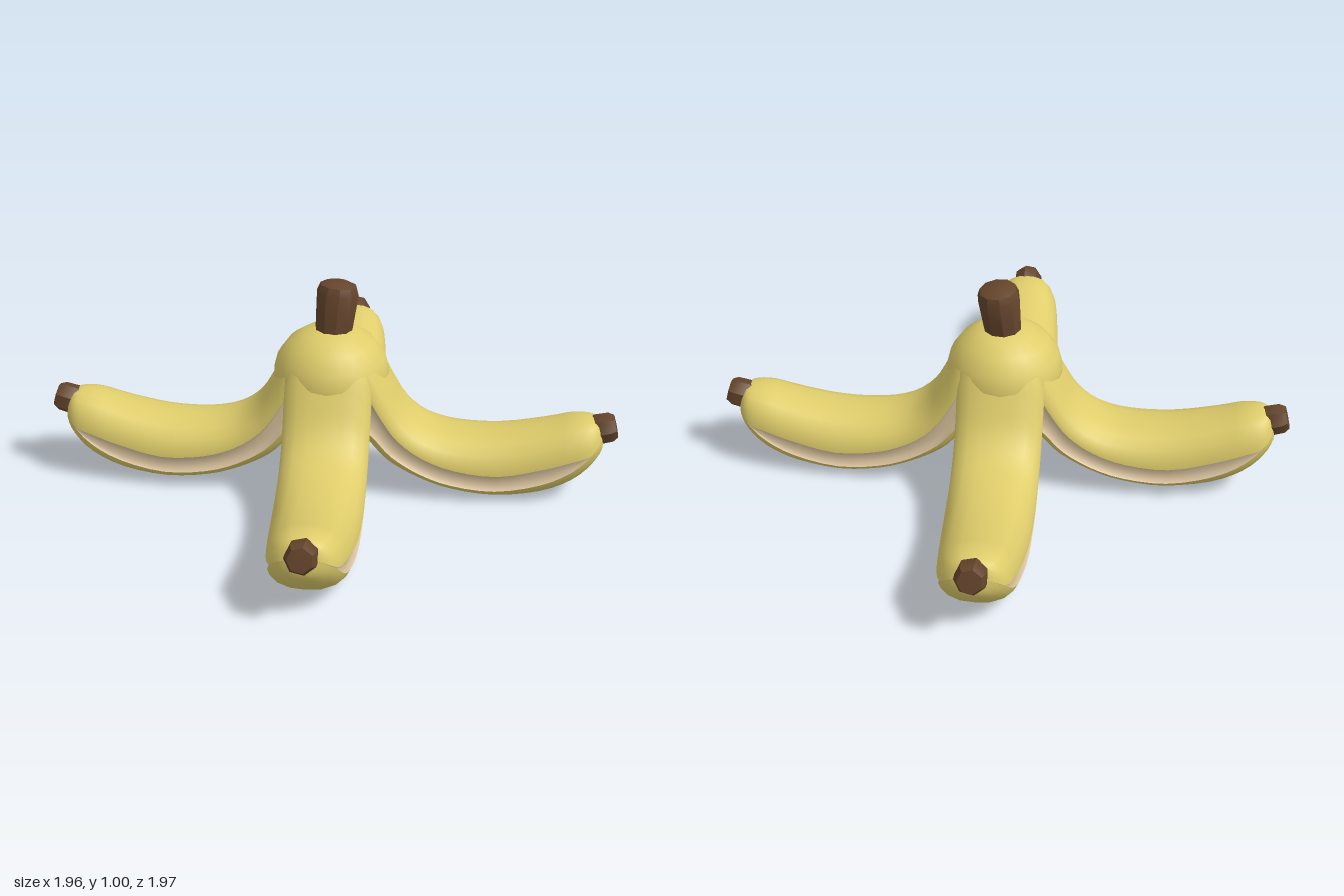
import * as THREE from 'three';
import { toCreasedNormals } from 'three/addons/utils/BufferGeometryUtils.js';

const yellow = new THREE.MeshStandardMaterial({ name: 'peel yellow', color: 0xdfcd6b });
const cream = new THREE.MeshStandardMaterial({ name: 'inner cream', color: 0xdcc5a0 });
const brown = new THREE.MeshStandardMaterial({ name: 'stem brown', color: 0x65452c });

// Arm stations: top distance, top y, bottom distance, bottom y, half width, groove low, groove high
const STATIONS = [
  [0, 0.78, 0, 0.4, 0.17, 0.2, 0.5],
  [0.12, 0.76, 0.08, 0.38, 0.19, 0.18, 0.55],
  [0.2, 0.69, 0.14, 0.32, 0.2, 0.18, 0.6],
  [0.28, 0.54, 0.2, 0.24, 0.2, 0.25, 0.6],
  [0.35, 0.42, 0.28, 0.16, 0.2, 0.26, 0.6],
  [0.45, 0.34, 0.42, 0.085, 0.2, 0.24, 0.57],
  [0.6, 0.305, 0.57, 0.035, 0.2, 0.22, 0.52],
  [0.8, 0.31, 0.77, 0.01, 0.195, 0.21, 0.48],
  [1.0, 0.35, 0.98, 0.03, 0.18, 0.25, 0.51],
  [1.12, 0.385, 1.13, 0.09, 0.165, 0.3, 0.48],
  [1.2, 0.39, 1.22, 0.17, 0.14, 0.38, 0.4],
  [1.24, 0.375, 1.265, 0.24, 0.085, 0.45, 0.45],
  [1.255, 0.34, 1.265, 0.3, 0.02, 0.5, 0.5],
];

// Smooth interpolation of the station table
function stationAt(t) {
  const n = STATIONS.length - 1;
  const i = Math.min(Math.floor(t * n), n - 1);
  const f = t * n - i;
  const row = (k) => STATIONS[Math.max(0, Math.min(n, k))];
  return row(i).map((b, k) => {
    const a = row(i - 1)[k], c = row(i + 1)[k], d = row(i + 2)[k];
    return b + 0.5 * f * (c - a + f * (2 * a - 5 * b + 4 * c - d + f * (3 * (b - c) + d - a)));
  });
}

// Half cross-sections as [side fraction, height fraction]
const lowerHalf = (lo) => [[0, 0], [0.4, 0.02], [0.72, lo * 0.32], [0.9, lo * 0.68], [0.97, lo]];
const upperHalf = (hi) => {
  const h = 1 - hi;
  return [[1, hi], [0.98, hi + h * 0.24], [0.87, hi + h * 0.56], [0.66, hi + h * 0.82], [0.36, hi + h * 0.96], [0, 1]];
};
const grooveHalf = (lo, hi) => {
  const g = Math.max(0, hi - lo), depth = Math.min(0.12, g * 0.4);
  return [[0.97, lo], [0.98 - depth, lo + g * 0.2], [0.985 - depth * 0.7, lo + g * 0.5],
    [0.98 - depth, lo + g * 0.85], [1, hi]];
};
const flip = (pts) => pts.map(([u, f]) => [-u, f]).reverse();

// Loft one band of the cross-section along the arm
function loft(section, samples = 36) {
  const pos = [], index = [];
  let cols = 0;
  for (let i = 0; i <= samples; i++) {
    const [tr, ty, br, by, w, lo, hi] = stationAt(i / samples);
    const pts = section(lo, Math.max(lo, hi));
    cols = pts.length;
    for (const [u, f] of pts) pos.push(br + (tr - br) * f, by + (ty - by) * f, u * w);
  }
  for (let i = 0; i < samples; i++) {
    for (let j = 0; j < cols - 1; j++) {
      const a = i * cols + j, b = a + cols;
      index.push(a, b, b + 1, a, b + 1, a + 1);
    }
  }
  const geo = new THREE.BufferGeometry();
  geo.setAttribute('position', new THREE.Float32BufferAttribute(pos, 3));
  geo.setIndex(index);
  geo.computeVertexNormals();
  return geo;
}

function add(parent, name, geometry, material) {
  const mesh = new THREE.Mesh(geometry, material);
  mesh.name = name;
  parent.add(mesh);
  return mesh;
}

const lathe = (pts, sides) => new THREE.LatheGeometry(pts.map(([r, y]) => new THREE.Vector2(r, y)), sides);

export function createModel() {
  const model = new THREE.Group();
  model.name = 'bananaPeel';

  // Crown joining the four strips
  add(model, 'crown', lathe([[0.12, 0.42], [0.23, 0.47], [0.265, 0.53], [0.268, 0.58], [0.25, 0.65],
    [0.2, 0.72], [0.13, 0.768], [0.06, 0.785], [0, 0.79]], 24), yellow);

  // Leaning stem with a slanted, softened top
  const stemGeo = lathe([[0.086, 0.765], [0.09, 0.82], [0.098, 0.95], [0.085, 0.985], [0.05, 1], [0, 1.002]], 10);
  const p = stemGeo.attributes.position;
  for (let i = 0; i < p.count; i++) {
    const k = (p.getY(i) - 0.765) / 0.235;
    p.setY(i, p.getY(i) - p.getX(i) * 0.15 * k);
    p.setX(i, p.getX(i) + 0.012 + 0.032 * k);
  }
  add(model, 'stem', toCreasedNormals(stemGeo, 0.5), brown);

  // Peel strips: upper and lower skin, a cream groove on each side, and a dark tip
  const upper = loft((lo, hi) => [...upperHalf(hi), ...flip(upperHalf(hi)).slice(1)]);
  const lower = loft((lo) => [...flip(lowerHalf(lo)), ...lowerHalf(lo).slice(1)]);
  const grooveA = loft(grooveHalf);
  const grooveB = loft((lo, hi) => flip(grooveHalf(lo, hi)));
  const tipGeo = toCreasedNormals(lathe([[0.05, -0.07], [0.072, -0.03], [0.07, 0.035], [0.055, 0.06], [0, 0.063]], 7), 0.5);

  const arms = [['frontLeft', 45.7, 0], ['frontRight', 135.2, 0], ['backRight', 225.8, 0.022], ['backLeft', -44.2, 0]];
  for (const [name, degrees, lift] of arms) {
    const arm = new THREE.Group();
    arm.name = name + 'Strip';
    add(arm, 'upperSkin', upper, yellow);
    add(arm, 'lowerSkin', lower, yellow);
    add(arm, 'innerGroove', grooveA, cream);
    add(arm, 'innerGroove', grooveB, cream);
    const tip = add(arm, 'tip', tipGeo, brown);
    tip.position.set(1.265, 0.333, 0);
    tip.rotation.z = -Math.PI / 2 + 0.25;
    arm.rotation.set(0, -THREE.MathUtils.degToRad(degrees), lift);
    model.add(arm);
  }
  return model;
}
